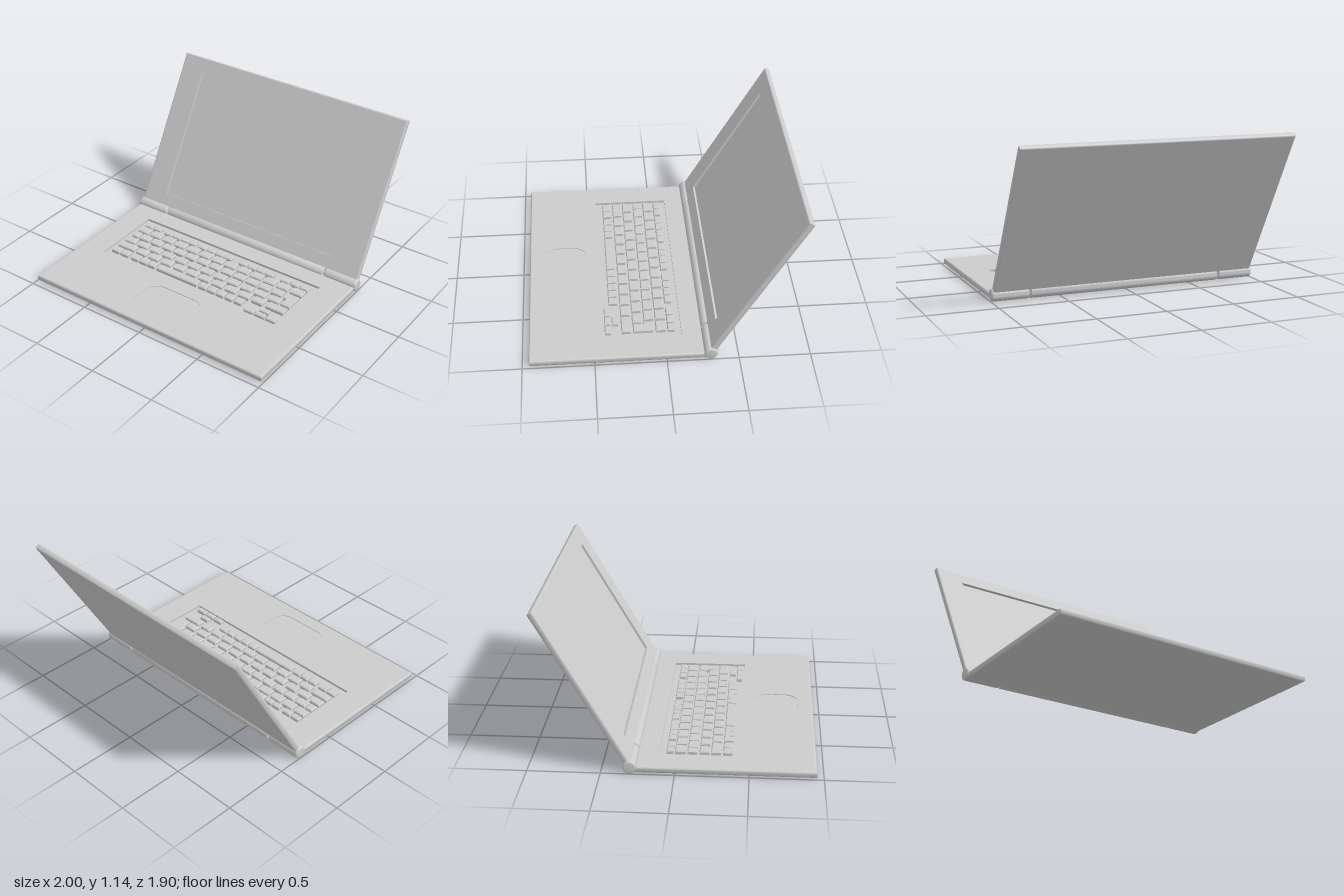
import * as THREE from 'three';
import { toCreasedNormals } from 'three/addons/utils/BufferGeometryUtils.js';

const mat = new THREE.MeshStandardMaterial({ color: 0xcccccc });
const W = 1.98, T = 0.044, R = 0.012;         // slab width, thickness, edge rounding
const HINGE_Y = 0.047, HINGE_Z = -0.305;

function add(parent, name, geometry) {
  const mesh = new THREE.Mesh(geometry, mat);
  mesh.name = name;
  parent.add(mesh);
  return mesh;
}

// Rectangle in plan (x, z), with optional corner radius; shape y is -z
function rect(Cls, x0, x1, z0, z1, r = 0) {
  const s = new Cls(), a = -z1, b = -z0;
  if (!r) {
    s.moveTo(x0, a).lineTo(x1, a).lineTo(x1, b).lineTo(x0, b).closePath();
    return s;
  }
  s.absarc(x1 - r, a + r, r, -Math.PI / 2, 0);
  s.absarc(x1 - r, b - r, r, 0, Math.PI / 2);
  s.absarc(x0 + r, b - r, r, Math.PI / 2, Math.PI);
  s.absarc(x0 + r, a + r, r, Math.PI, Math.PI * 1.5);
  s.closePath();
  return s;
}

function upright(shape, depth, y) {
  return new THREE.ExtrudeGeometry(shape, { depth, bevelEnabled: false, curveSegments: 10 })
    .rotateX(-Math.PI / 2).translate(0, y, 0);
}

// Slab from z0 to z1 with rounded edges and recesses [name, x0, x1, z0, z1, radius, depth]
function slab(parent, name, z0, z1, y0, recesses) {
  const plate = rect(THREE.Shape, -W / 2 + R, W / 2 - R, z0 + R, z1 - R);
  for (const [label, a, b, c, d, r, depth] of recesses) {
    plate.holes.push(rect(THREE.Path, a, b, c, d, r));
    add(parent, label, upright(rect(THREE.Shape, a, b, c, d, r), T - depth, y0));
  }
  add(parent, name, upright(plate, T, y0));

  // rounded rim: a four-sided lathe stretched to the slab's outline
  const profile = [];
  for (let i = 0; i <= 8; i++) {
    const k = i < 4 ? i : i - 1;
    const t = -Math.PI / 2 + (Math.min(k, 7) / 7) * Math.PI;
    const y = i < 4 ? y0 + R + R * Math.sin(t) : y0 + T - R + R * Math.sin(t);
    profile.push(new THREE.Vector2(Math.SQRT2 * (1 - R + R * Math.cos(t)), y));
  }
  const rim = new THREE.LatheGeometry(profile, 4, Math.PI / 4);
  const p = rim.attributes.position;
  for (let i = 0; i < p.count; i++) {
    const x = p.getX(i), z = p.getZ(i);
    p.setX(i, Math.sign(x) * (W / 2 - 1 + Math.abs(x)));
    p.setZ(i, (z0 + z1) / 2 + Math.sign(z) * ((z1 - z0) / 2 - 1 + Math.abs(z)));
  }
  add(parent, name + 'Rim', toCreasedNormals(rim, 0.7));
}

// Key with a slightly narrower top
function key(parent, x0, x1, z0, z1, name = 'key') {
  const y0 = 0.03, y1 = 0.06, inset = 0.006;
  const g = new THREE.BoxGeometry(x1 - x0, y1 - y0, z1 - z0, 1, 2, 1);
  const p = g.attributes.position;
  for (let i = 0; i < p.count; i++) {
    if (Math.abs(p.getY(i)) < 1e-6) p.setY(i, 0.008);
    else if (p.getY(i) > 0) {
      p.setX(i, p.getX(i) - Math.sign(p.getX(i)) * inset);
      p.setZ(i, p.getZ(i) - Math.sign(p.getZ(i)) * inset);
    }
  }
  g.translate((x0 + x1) / 2, (y0 + y1) / 2, (z0 + z1) / 2);
  add(parent, name, toCreasedNormals(g, 0.3));
}

// Evenly spaced run of keys: [left, width] pairs
const run = (x, width, pitch, n) => Array.from({ length: n }, (_, i) => [x + i * pitch, width]);

function buildKeys(parent) {
  const rows = [
    [-0.073, -0.024, [...run(-0.757, 0.068, 0.081, 2), ...run(-0.57, 0.068, 0.078, 4),
      ...run(-0.239, 0.067, 0.079, 4), ...run(0.131, 0.067, 0.08, 4), ...run(0.505, 0.069, 0.083, 3)]],
    [-0.013, 0.059, [...run(-0.757, 0.092, 0.1165, 12), [0.641, 0.098]]],
    [0.072, 0.139, [[-0.757, 0.057], ...run(-0.688, 0.09, 0.1105, 12)]],
    [0.155, 0.222, run(-0.757, 0.088, 0.1195, 12)],
    [0.235, 0.302, [[-0.757, 0.146], ...run(-0.587, 0.09, 0.1175, 10), [0.591, 0.148]]],
    [0.318, 0.382, [...run(-0.757, 0.07, 0.083, 2), ...run(-0.572, 0.066, 0.079, 3),
      ...run(0.056, 0.064, 0.0787, 5)]],
    [0.323, 0.366, [[0.58, 0.075]]],
    [0.377, 0.42, run(0.484, 0.077, 0.092, 3)],
  ];
  for (const [z0, z1, keys] of rows)
    for (const [x, w] of keys) key(parent, x, x + w, z0, z1);
  key(parent, -0.324, 0.037, 0.318, 0.382, 'spaceBar');

  // L-shaped enter key
  const s = new THREE.Shape();
  s.moveTo(0.67, -0.213).lineTo(0.732, -0.213).lineTo(0.732, -0.083)
    .lineTo(0.647, -0.083).lineTo(0.647, -0.139).lineTo(0.67, -0.139).closePath();
  const enter = new THREE.ExtrudeGeometry(s, {
    depth: 0.022, bevelThickness: 0.008, bevelSize: 0.006, bevelSegments: 1,
  }).rotateX(-Math.PI / 2).translate(0, 0.03, 0);
  add(parent, 'enterKey', enter);
}

// Hinge barrel along x with softened ends
function barrel(parent, name, x0, x1, radius, round) {
  const pts = [new THREE.Vector2(0, x0)];
  for (let i = 0; i <= 4; i++) {
    const t = (i / 4) * Math.PI / 2;
    pts.push(new THREE.Vector2(radius - round + round * Math.sin(t), x0 + round - round * Math.cos(t)));
  }
  const mirrored = pts.map((v) => new THREE.Vector2(v.x, x0 + x1 - v.y)).reverse();
  const g = new THREE.LatheGeometry([...pts, ...mirrored], 32).rotateZ(-Math.PI / 2);
  add(parent, name, toCreasedNormals(g, 0.6)).position.set(0, HINGE_Y, HINGE_Z);
}

export function createModel() {
  const model = new THREE.Group();
  model.name = 'laptop';

  // Base with keyboard well and touchpad
  const base = new THREE.Group();
  base.name = 'base';
  slab(base, 'baseShell', -0.3, 0.953, 0.007, [
    ['keyboardWell', -0.795, 0.787, -0.12, 0.435, 0, 0.018],
    ['touchpad', -0.235, 0.235, 0.53, 0.84, 0.1, 0.005],
  ]);
  const keyboard = new THREE.Group();
  keyboard.name = 'keyboard';
  buildKeys(keyboard);
  base.add(keyboard);
  model.add(base);

  // Lid leaning back 30 degrees from upright, pivoting on the hinge
  const lid = new THREE.Group();
  lid.name = 'lid';
  slab(lid, 'lidShell', -1.253, -0.01, -T / 2, [
    ['screen', -0.793, 0.79, -1.13, -0.135, 0, 0.018],
  ]);
  lid.position.set(0, HINGE_Y, HINGE_Z);
  lid.rotation.x = Math.PI / 3;
  model.add(lid);

  // Hinge: long middle barrel, two end barrels and the pin through them
  const hinge = new THREE.Group();
  hinge.name = 'hinge';
  barrel(hinge, 'middleBarrel', -0.718, 0.718, 0.046, 0.004);
  barrel(hinge, 'rightBarrel', -1, -0.73, 0.046, 0.012);
  barrel(hinge, 'leftBarrel', 0.73, 1, 0.046, 0.012);
  barrel(hinge, 'hingePin', -0.8, 0.8, 0.025, 0.002);
  model.add(hinge);

  return model;
}
